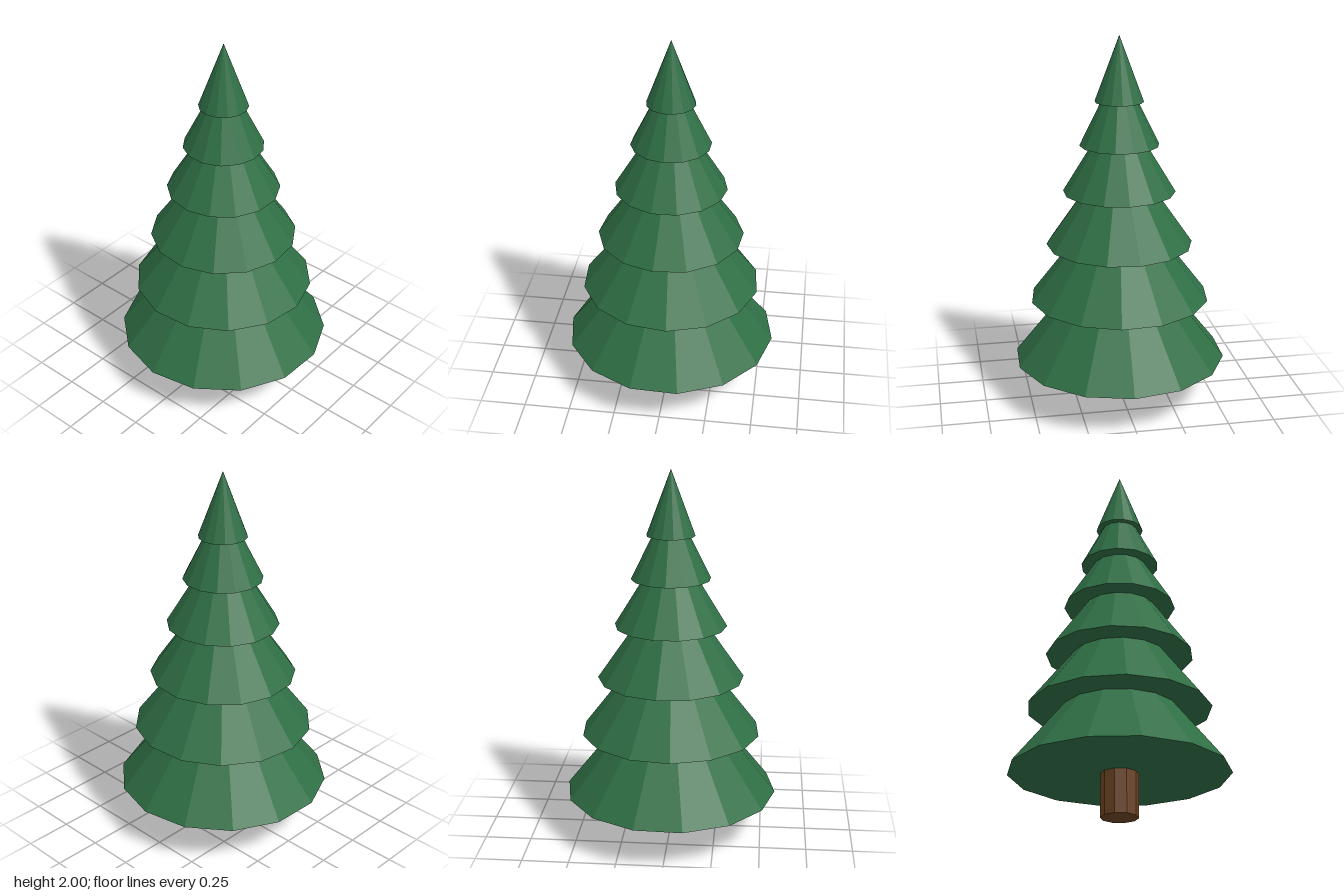
import * as THREE from 'three';

const deg = THREE.MathUtils.degToRad;

export function createModel() {
  const tree = new THREE.Group();
  tree.name = 'pineTree';

  const needles = new THREE.MeshStandardMaterial({ color: 0x2f6f45 });
  needles.name = 'needleGreen';
  const bark = new THREE.MeshStandardMaterial({ color: 0x6b4423 });
  bark.name = 'barkBrown';

  // Faceted solid from y0 to y1; turn is the angle of one corner from +x towards +z
  function addFaceted(name, material, rTop, rBottom, y0, y1, sides, turn) {
    const geometry = new THREE.CylinderGeometry(
      rTop, rBottom, y1 - y0, sides, 1, false, Math.PI / 2 - deg(turn)
    ).toNonIndexed();
    geometry.computeVertexNormals(); // one flat normal per facet
    const mesh = new THREE.Mesh(geometry, material);
    mesh.name = name;
    mesh.position.y = (y0 + y1) / 2;
    tree.add(mesh);
  }

  // Trunk, running up into the lowest tier
  addFaceted('trunk', bark, 0.098, 0.098, 0, 0.3, 10, 27.5);

  // Overlapping tiers of foliage: [radius, base height, tip height, turn]
  const tiers = [
    [0.576, 0.23, 0.96, 2.2],
    [0.485, 0.575, 1.21, 8.6],
    [0.393, 0.88, 1.445, 19.3],
    [0.3, 1.17, 1.66, -0.3],
    [0.212, 1.425, 1.85, 15.6],
    [0.129, 1.655, 2, 2.2],
  ];
  tiers.forEach(([radius, base, tip, turn], i) => {
    addFaceted(`foliageTier${i + 1}`, needles, 0, radius, base, tip, 14, turn);
  });

  return tree;
}
